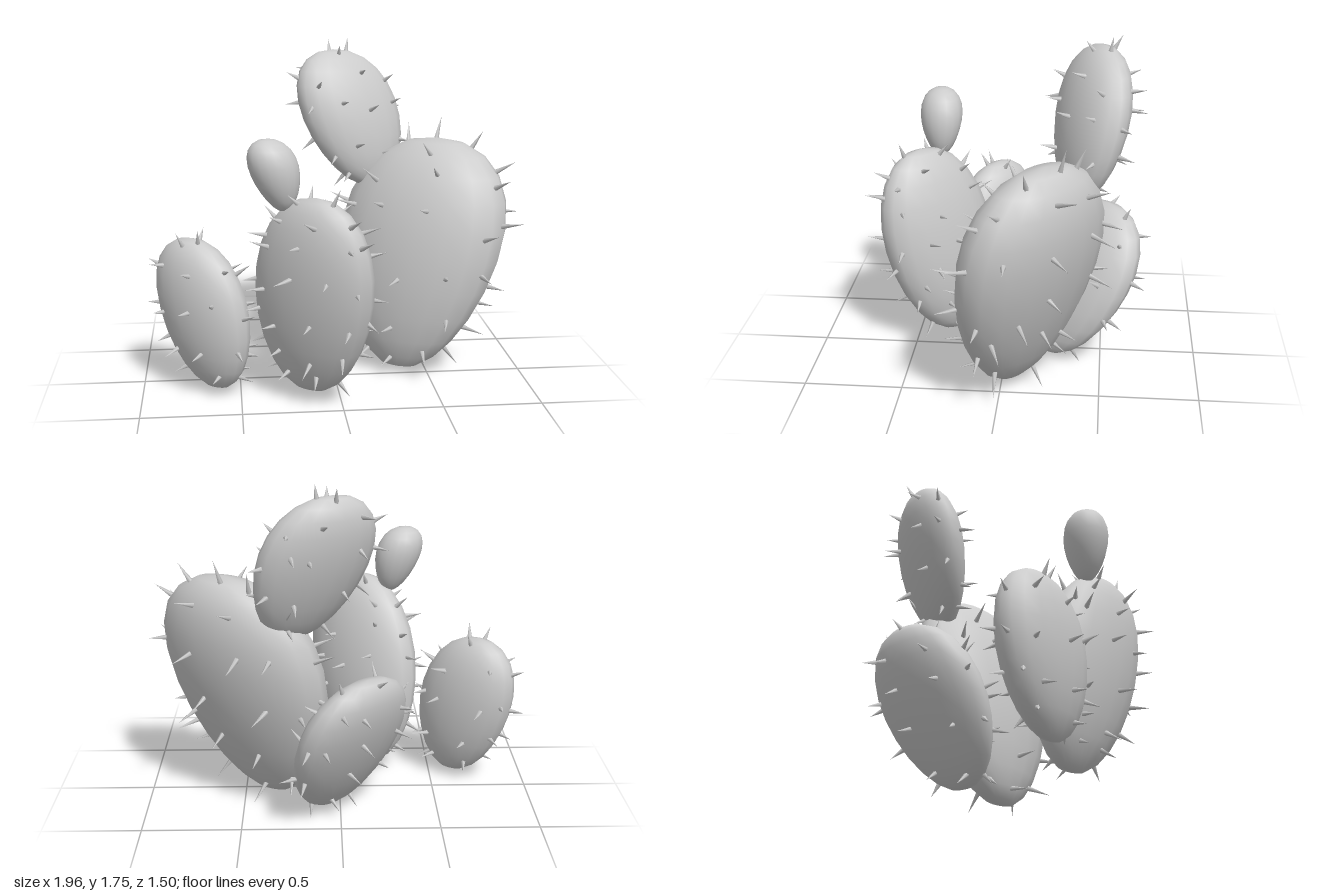
import * as THREE from 'three';
import { mergeVertices, mergeGeometries } from 'three/addons/utils/BufferGeometryUtils.js';

// base and top are the ends of the pad; w and d are half width and half depth,
// yaw turns the width from +x towards +z, k makes the upper part fuller
const PADS = [
  { name: 'largePad', base: [0.35, 0.01, -0.05], top: [0.575, 1.23, -0.22], w: 0.46, d: 0.243, yaw: 36, k: 0.22, rows: 6, cols: 11, spine: 0.125 },
  { name: 'frontPad', base: [-0.15, 0.025, 0.29], top: [-0.13, 1.06, 0.47], w: 0.345, d: 0.168, yaw: 42, k: 0.08, rows: 7, cols: 10, spine: 0.1 },
  { name: 'sidePad', base: [-0.62, 0.015, 0.18], top: [-0.74, 0.79, 0.11], w: 0.275, d: 0.147, yaw: 41, k: 0.12, rows: 5, cols: 9, spine: 0.09 },
  { name: 'backPad', base: [0.06, 0.005, -0.22], top: [-0.13, 0.79, -0.52], w: 0.34, d: 0.16, yaw: -45, k: 0.14, rows: 5, cols: 9, spine: 0.09 },
  { name: 'upperPad', base: [0.24, 0.95, -0.36], top: [0.04, 1.68, -0.48], w: 0.293, d: 0.147, yaw: -25, k: 0.15, rows: 5, cols: 9, spine: 0.09 },
  { name: 'budPad', base: [-0.28, 0.98, 0.385], top: [-0.36, 1.335, 0.385], w: 0.12, d: 0.108, yaw: -20, k: 0.27, rows: 0 },
];

function seeded(seed) {
  let s = seed;
  return () => (s = (s * 16807) % 2147483647) / 2147483647;
}

// point on a pad: theta runs from the top (0) to the base (PI), phi goes round it
function padPoint(pad, theta, phi) {
  const c = Math.cos(theta);
  const r = Math.pow(Math.max(Math.sin(theta), 0), 0.93) * (1 + pad.k * c);
  const a = THREE.MathUtils.degToRad(pad.yaw);
  const x = pad.w * r * Math.cos(phi), z = pad.d * r * Math.sin(phi);
  return new THREE.Vector3(...pad.base)
    .lerp(new THREE.Vector3(...pad.top), (1 + c) / 2)
    .add(new THREE.Vector3(x * Math.cos(a) - z * Math.sin(a), 0, x * Math.sin(a) + z * Math.cos(a)));
}

function padGeometry(pad) {
  let geo = new THREE.SphereGeometry(1, 18, 12);
  geo.deleteAttribute('uv');
  geo.deleteAttribute('normal');
  const pos = geo.attributes.position;
  for (let i = 0; i < pos.count; i++) {
    const theta = Math.acos(THREE.MathUtils.clamp(pos.getY(i), -1, 1));
    const p = padPoint(pad, theta, Math.atan2(pos.getZ(i), pos.getX(i)));
    pos.setXYZ(i, p.x, p.y, p.z);
  }
  geo = mergeVertices(geo, 1e-4);
  geo.computeVertexNormals();
  return geo;
}

// one spine standing on the pad, leaning a little off its surface normal
function spineGeometry(pad, theta, phi, length, tilt) {
  const e = 0.01, p = padPoint(pad, theta, phi);
  const down = padPoint(pad, theta + e, phi).sub(p);
  const round = padPoint(pad, theta, phi + e).sub(p);
  const direction = round.cross(down).normalize().add(tilt).normalize();
  const geo = new THREE.ConeGeometry(0.015, length, 5);
  geo.translate(0, length / 2 - 0.015, 0);
  geo.applyQuaternion(new THREE.Quaternion().setFromUnitVectors(new THREE.Vector3(0, 1, 0), direction));
  return geo.translate(p.x, p.y, p.z);
}

export function createModel() {
  const model = new THREE.Group();
  model.name = 'cactus';
  const skin = new THREE.MeshStandardMaterial({ color: 0xcccccc });
  const random = seeded(71);
  const spread = (amount) => amount * (random() - 0.5);

  for (const pad of PADS) {
    const group = new THREE.Group();
    group.name = pad.name;
    const body = new THREE.Mesh(padGeometry(pad), skin);
    body.name = pad.name + 'Body';
    group.add(body);

    // staggered rows of spines, fewer near the ends
    const spines = [];
    for (let r = 0; r < pad.rows; r++) {
      const theta = 0.35 + (2.2 * r) / (pad.rows - 1);
      const count = Math.max(3, Math.round(pad.cols * Math.sin(theta)));
      for (let i = 0; i < count; i++) {
        const phi = ((i + (r % 2) / 2 + spread(0.6)) / count) * Math.PI * 2;
        const length = pad.spine * (1 + spread(0.4));
        const tilt = new THREE.Vector3(spread(0.5), spread(0.5), spread(0.5));
        spines.push(spineGeometry(pad, theta + spread(0.3), phi, length, tilt));
      }
    }
    if (spines.length) {
      const mesh = new THREE.Mesh(mergeGeometries(spines), skin);
      mesh.name = pad.name + 'Spines';
      group.add(mesh);
    }
    model.add(group);
  }
  return model;
}
